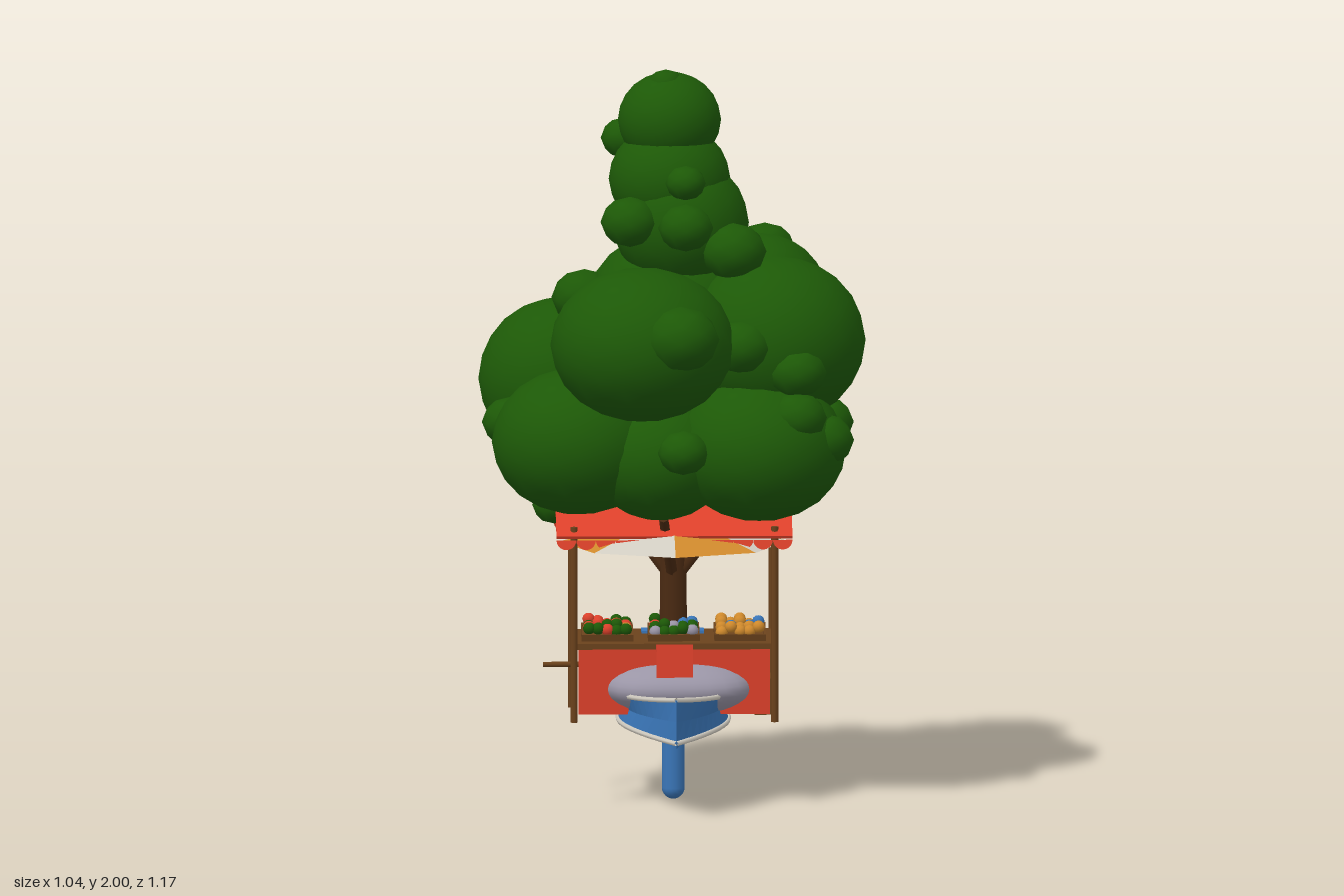
import * as THREE from 'three';

const mat = (name, color, side = THREE.FrontSide) => {
  const m = new THREE.MeshStandardMaterial({ color, side });
  m.name = name;
  return m;
};

export function createModel() {
  const root = new THREE.Group();
  root.name = 'treeStall';
  const D = THREE.DoubleSide;
  const leaf = mat('leafGreen', 0x1d5907);
  const bark = mat('barkBrown', 0x4a2a12);
  const wood = mat('woodBrown', 0x6b421c);
  const red = mat('clothRed', 0xdc402a, D);
  const cream = mat('cream', 0xd2cdc2, D);
  const orange = mat('orange', 0xd08a2c, D);
  const blue = mat('boatBlue', 0x3a76b8, D);
  const grey = mat('paleLavender', 0x9a95a6);

  const add = (name, geo, m, x = 0, y = 0, z = 0, parent = root) => {
    const mesh = new THREE.Mesh(geo, m);
    mesh.name = name;
    mesh.position.set(x, y, z);
    parent.add(mesh);
    return mesh;
  };
  const box = (name, m, w, h, d, x, y, z, parent) =>
    add(name, new THREE.BoxGeometry(w, h, d), m, x, y, z, parent);
  // Tapered rod between two points
  const rod = (name, m, a, b, r0, r1 = r0, sides = 8) => {
    const p = new THREE.Vector3(...a), q = new THREE.Vector3(...b);
    const dir = q.clone().sub(p);
    const mesh = add(name, new THREE.CylinderGeometry(r1, r0, dir.length(), sides), m);
    mesh.position.copy(p).add(q).multiplyScalar(0.5);
    mesh.quaternion.setFromUnitVectors(new THREE.Vector3(0, 1, 0), dir.normalize());
  };
  let seed = 7;
  const rand = () => (seed = (seed * 16807) % 2147483647) / 2147483647;

  const foliage = new THREE.Group();
  foliage.name = 'foliage';
  root.add(foliage);
  // Large clumps: x, y, z, radius, half height
  const clump = new THREE.IcosahedronGeometry(1, 3);
  for (const [x, y, z, r, h] of [
    [0.27, 1.27, 0.08, 0.25, 0.23], [0.23, 1.37, -0.04, 0.19, 0.175],
    [-0.09, 1.29, 0.3, 0.25, 0.21],
    [0.16, 1.26, -0.27, 0.22, 0.22], [-0.05, 1.03, -0.37, 0.22, 0.19],
    [-0.3, 1.13, -0.17, 0.225, 0.22], [-0.26, 1.0, 0.12, 0.235, 0.2],
    [0.23, 0.99, 0.19, 0.235, 0.2], [-0.04, 0.96, 0.17, 0.19, 0.17],
    [0, 1.3, -0.06, 0.25, 0.25], [0.05, 1.02, -0.1, 0.26, 0.2],
    [-0.23, 0.88, -0.19, 0.135, 0.14], [0.02, 1.58, 0, 0.185, 0.18],
    [-0.01, 1.7, -0.01, 0.165, 0.15], [-0.01, 1.86, -0.02, 0.14, 0.13],
  ]) add('leafClump', clump, leaf, x, y, z, foliage).scale.set(r, h, r);
  // Small flattened knobs: x, y, z, radius
  const knob = new THREE.IcosahedronGeometry(1, 1);
  for (const [x, y, z, r] of [
    [0.01, 1.33, 0.48, 0.105], [0.36, 1.33, -0.36, 0.08], [0.23, 1.43, -0.23, 0.09],
    [0.25, 1.49, -0.11, 0.085], [-0.24, 1.37, -0.04, 0.09], [-0.44, 1.04, 0.03, 0.08],
    [0.33, 1.21, 0.28, 0.08], [0.18, 1.28, 0.28, 0.085], [0.33, 1.09, 0.31, 0.08],
    [0.02, 1, 0.35, 0.07], [0.4, 1.02, 0.25, 0.085], [0.41, 1.03, -0.02, 0.08],
    [0.32, 1.23, -0.28, 0.075], [0.1, 0.91, -0.4, 0.08], [-0.32, 0.79, -0.12, 0.06],
    [-0.13, 1.8, -0.09, 0.065], [0.03, 1.71, 0.15, 0.055], [-0.12, 1.6, 0.12, 0.08],
    [0.03, 1.59, 0.17, 0.075], [0.04, 1.74, -0.15, 0.065], [0.16, 1.52, 0.13, 0.09],
    [-0.02, 1.955, 0, 0.052],
  ]) add('leafKnob', knob, leaf, x, y, z, foliage).scale.set(r, r * 0.86, r);

  // Trunk with spreading branches
  rod('trunk', bark, [0, 0.36, 0], [0, 0.92, 0], 0.04, 0.034, 10);
  for (let i = 0; i < 4; i++) {
    const a = i * Math.PI / 2 + 0.2;
    rod('branch', bark, [0, 0.6, 0], [Math.cos(a) * 0.15, 0.79, Math.sin(a) * 0.15], 0.018, 0.014, 6);
  }

  // Red gable roof with scalloped eaves
  const scallop = new THREE.CircleGeometry(0.0267, 10, Math.PI, Math.PI);
  for (const s of [1, -1]) {
    box('roofSheet', red, 0.64, 0.008, 0.185, 0, 0.78, s * 0.0825 - 0.01).rotation.x = s * 0.451;
    for (let i = 0; i < 12; i++)
      add('scallop', scallop, red, -0.2933 + i * 0.05333, 0.733, s * 0.168 - 0.01).rotation.x = -s * 0.3;
  }

  // Eight-panel striped parasol under the roof
  for (let i = 0; i < 8; i++) {
    const rim = (k) => [Math.cos(k * Math.PI / 4) * 0.31, 0.705, Math.sin(k * Math.PI / 4) * 0.31 - 0.01];
    const g = new THREE.BufferGeometry();
    g.setAttribute('position', new THREE.Float32BufferAttribute([0, 0.79, -0.01, ...rim(i + 1), ...rim(i)], 3));
    g.computeVertexNormals();
    add('parasolPanel', g, i % 2 ? orange : cream);
  }

  // Posts, counter and front cloth
  for (const x of [-0.272, 0.272]) for (const z of [0.13, -0.15])
    rod('post', wood, [x, 0.23, z], [x, 0.765, z], 0.01);
  box('counterTop', wood, 0.55, 0.016, 0.28, 0, 0.437, -0.01);
  box('frontCloth', red, 0.52, 0.18, 0.006, 0, 0.34, 0.115);
  rod('sideRod', wood, [-0.355, 0.385, 0.1], [-0.24, 0.385, 0.1], 0.007);
  box('sideBox', wood, 0.05, 0.1, 0.11, 0.245, 0.28, -0.055);
  box('blueTray', blue, 0.17, 0.008, 0.06, 0, 0.448, -0.09);

  // Tilted crates heaped with fruit
  const fruit = new THREE.IcosahedronGeometry(0.017, 1);
  const mixes = [[red, leaf, orange, red, leaf], [red, grey, leaf, blue], [orange, blue, orange]];
  mixes.forEach((mix, k) => {
    const crate = new THREE.Group();
    crate.name = 'fruitCrate';
    crate.position.set((k - 1) * 0.18, 0.46, 0.035);
    crate.rotation.x = 0.18;
    root.add(crate);
    box('crateFloor', wood, 0.14, 0.006, 0.1, 0, -0.01, 0, crate);
    for (const s of [1, -1]) {
      box('crateLongSide', wood, 0.14, 0.026, 0.006, 0, 0, s * 0.05, crate);
      box('crateEnd', wood, 0.006, 0.026, 0.1, s * 0.067, 0, 0, crate);
    }
    for (let i = 0; i < 5; i++) for (let j = 0; j < 4; j++)
      add('fruit', fruit, mix[Math.floor(rand() * mix.length)],
        (i - 2) * 0.025, 0.013 + rand() * 0.018, (j - 1.5) * 0.024, crate);
  });

  // Plump body: a sphere squared off in plan, with a collar and hanging tags
  const body = new THREE.SphereGeometry(1, 32, 20);
  const bp = body.attributes.position;
  for (let i = 0; i < bp.count; i++) {
    const x = bp.getX(i), z = bp.getZ(i), flat = Math.hypot(x, z);
    const n = (Math.abs(x) ** 3 + Math.abs(z) ** 3) ** (1 / 3);
    const k = n > 1e-6 ? flat / n : 1;
    bp.setXYZ(i, x * k * 0.208, bp.getY(i) * 0.085, z * k * 0.208);
  }
  body.computeVertexNormals();
  add('roundBody', body, grey, 0.012, 0.318, -0.005);
  add('bodyCollar', new THREE.CylinderGeometry(0.085, 0.09, 0.05, 16), blue, 0, 0.405, -0.005);
  for (const s of [1, -1])
    box('hangingTag', red, 0.1, 0.09, 0.006, 0, 0.405, s * 0.195 - 0.012).rotation.x = -s * 0.1;

  // Pointed hull from cross-sections: width factor, height between bottom and top
  const rows = [[-1, 1], [-0.88, 0.5], [-0.97, 0], [0, -0.12], [0.97, 0], [0.88, 0.5], [1, 1]];
  const N = 24;
  const hullPoint = (t, [f, h]) => {
    const low = 0.222 - 0.013 * t * t, high = 0.3 + 0.028 * t * t;
    return new THREE.Vector3(0.155 * (1 - t * t) * f, low + (high - low) * h, t * 0.4 - 0.008);
  };
  const pos = [], index = [];
  for (let i = 0; i <= N; i++) for (const r of rows) pos.push(...hullPoint((i / N) * 2 - 1, r).toArray());
  for (let i = 0; i < N; i++) for (let j = 0; j < rows.length - 1; j++) {
    const a = i * rows.length + j, b = a + rows.length;
    index.push(a, a + 1, b, a + 1, b + 1, b);
  }
  const smoothHull = new THREE.BufferGeometry();
  smoothHull.setAttribute('position', new THREE.Float32BufferAttribute(pos, 3));
  smoothHull.setIndex(index);
  const hull = smoothHull.toNonIndexed();
  hull.computeVertexNormals();
  add('hull', hull, blue);
  // Pale trim along the upper and lower hull edges
  for (const r of [rows[0], rows[2], rows[4], rows[6]]) {
    const pts = Array.from({ length: 13 }, (_, i) => hullPoint(i / 6 - 1, r));
    add('hullTrim', new THREE.TubeGeometry(new THREE.CatmullRomCurve3(pts), 24, 0.007, 5), cream);
  }

  // Rounded standing leg
  add('leg', new THREE.CapsuleGeometry(0.031, 0.148, 6, 14), blue, 0, 0.105, -0.008);
  return root;
}
